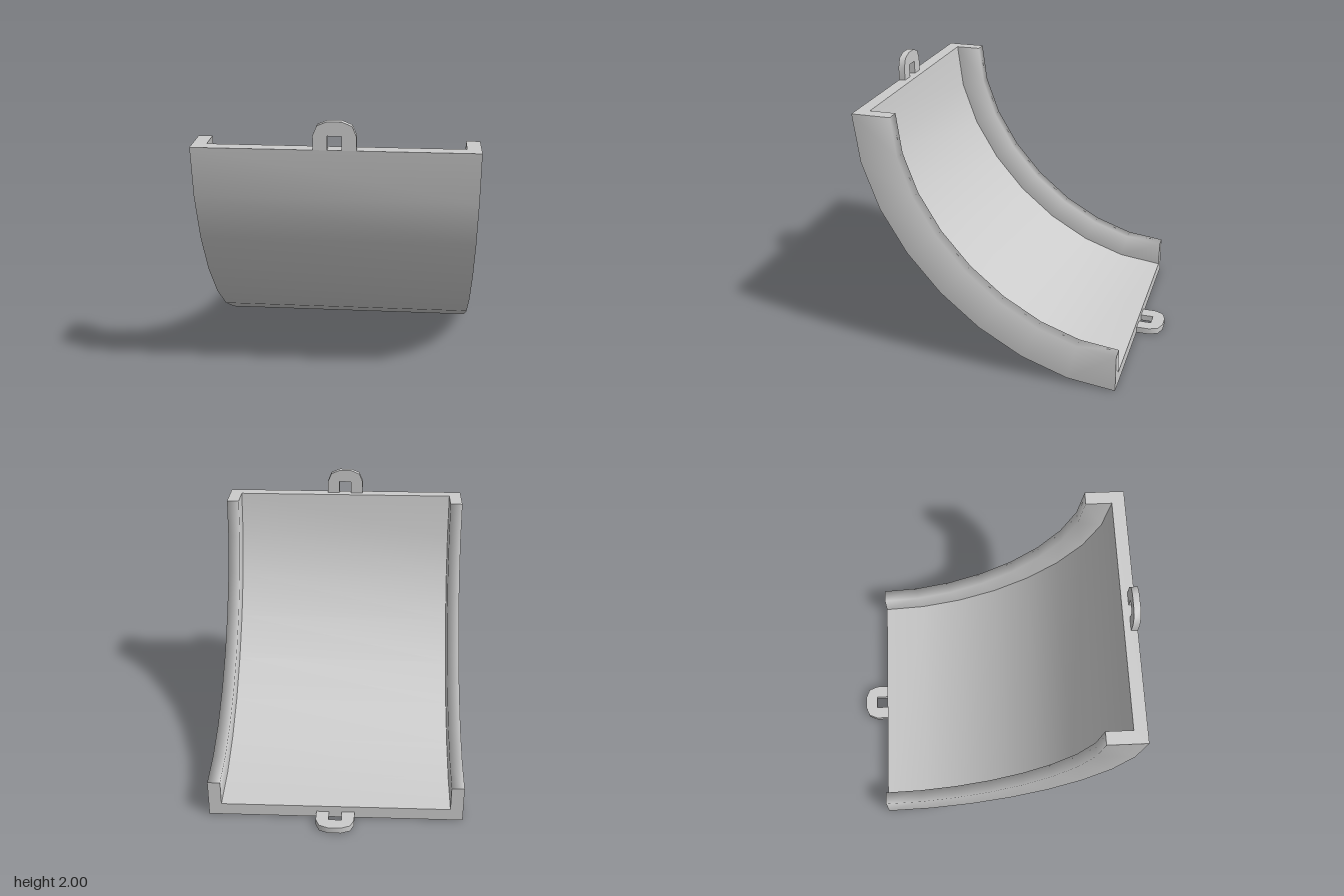
import * as THREE from 'three';
import { toCreasedNormals } from 'three/addons/utils/BufferGeometryUtils.js';

const U = 1 / 11;          // wall thickness, the module for all sizes
const REACH = 20 * U;      // height and depth of the curved plate
const HALF_WIDTH = 10 * U;
const RIM = 3 * U;         // depth of the rims
const SEGMENTS = 8;

// Outer side profile, sweeping from the top edge down to the bottom edge
const profile = new THREE.CubicBezierCurve3(
  new THREE.Vector3(0, REACH, 1), new THREE.Vector3(0, REACH / 2, 1),
  new THREE.Vector3(0, 0, 1 - REACH / 2), new THREE.Vector3(0, 0, 1 - REACH),
);

// Cross-section points: [x, distance inward from the outer profile]
const inner = HALF_WIDTH - U;
const rightRim = [[-HALF_WIDTH, 0], [-HALF_WIDTH, RIM], [-inner, RIM], [-inner, U]];
const leftRim = rightRim.map(([x, d]) => [-x, d]).reverse();
const outerFace = [[HALF_WIDTH, 0], [-HALF_WIDTH, 0]];
const innerFace = [[-inner, U], [inner, U]];

const shapeOf = (points) => new THREE.Shape(points.map(([x, y]) => new THREE.Vector2(x, y)));

// Smooth strip: a run of section points swept along the profile
function sweep(points) {
  const positions = [], indices = [], n = points.length;
  const across = new THREE.Vector3(1, 0, 0);
  for (let i = 0; i <= SEGMENTS; i++) {
    const centre = profile.getPoint(i / SEGMENTS);
    const inward = across.clone().cross(profile.getTangent(i / SEGMENTS));
    for (const [x, d] of points) {
      positions.push(x, centre.y + inward.y * d, centre.z + inward.z * d);
    }
    if (i === SEGMENTS) continue;
    for (let j = 0; j < n - 1; j++) {
      const a = i * n + j, b = a + n;
      indices.push(a, a + 1, b, a + 1, b + 1, b);
    }
  }
  const geometry = new THREE.BufferGeometry();
  geometry.setAttribute('position', new THREE.Float32BufferAttribute(positions, 3));
  geometry.setIndex(indices);
  geometry.computeVertexNormals();
  return geometry;
}

// Flat arch with a square opening at its base, standing on y = 0
function loopGeometry() {
  const arch = shapeOf([
    [U / 2, 0], [1.5 * U, 0], [1.5 * U, U], [1.207 * U, 1.707 * U], [U / 2, 2 * U],
    [-U / 2, 2 * U], [-1.207 * U, 1.707 * U], [-1.5 * U, U], [-1.5 * U, 0], [-U / 2, 0],
    [-U / 2, U], [U / 2, U],
  ]);
  const geometry = new THREE.ExtrudeGeometry(arch, { depth: U / 2, bevelEnabled: false });
  return toCreasedNormals(geometry, 0.9);
}

export function createModel() {
  const model = new THREE.Group();
  model.name = 'curvedChannel';
  const material = new THREE.MeshStandardMaterial({ color: 0xcccccc });

  const add = (name, geometry, y = 0, z = 0, tilt = 0) => {
    const mesh = new THREE.Mesh(geometry, material);
    mesh.name = name;
    mesh.position.set(0, y, z);
    mesh.rotation.x = tilt;
    model.add(mesh);
  };

  // Curved plate, with a raised rim along both sides
  add('plateOuterFace', sweep(outerFace));
  add('plateInnerFace', sweep(innerFace));
  add('rightRim', sweep(rightRim));
  add('leftRim', sweep(leftRim));

  // U-shaped end faces
  const end = new THREE.ShapeGeometry(shapeOf([...rightRim, ...leftRim].map(([x, d]) => [x, -d])));
  add('topEnd', end.clone().rotateY(Math.PI), REACH, 1, Math.PI / 2);
  add('bottomEnd', end, 0, 1 - REACH, Math.PI);

  // Hanging loops: one upright on the top edge, one lying flat on the bottom edge
  const loop = loopGeometry();
  add('topLoop', loop, REACH, 1 - U / 2);
  add('bottomLoop', loop, 0, 1 - REACH, -Math.PI / 2);
  return model;
}
